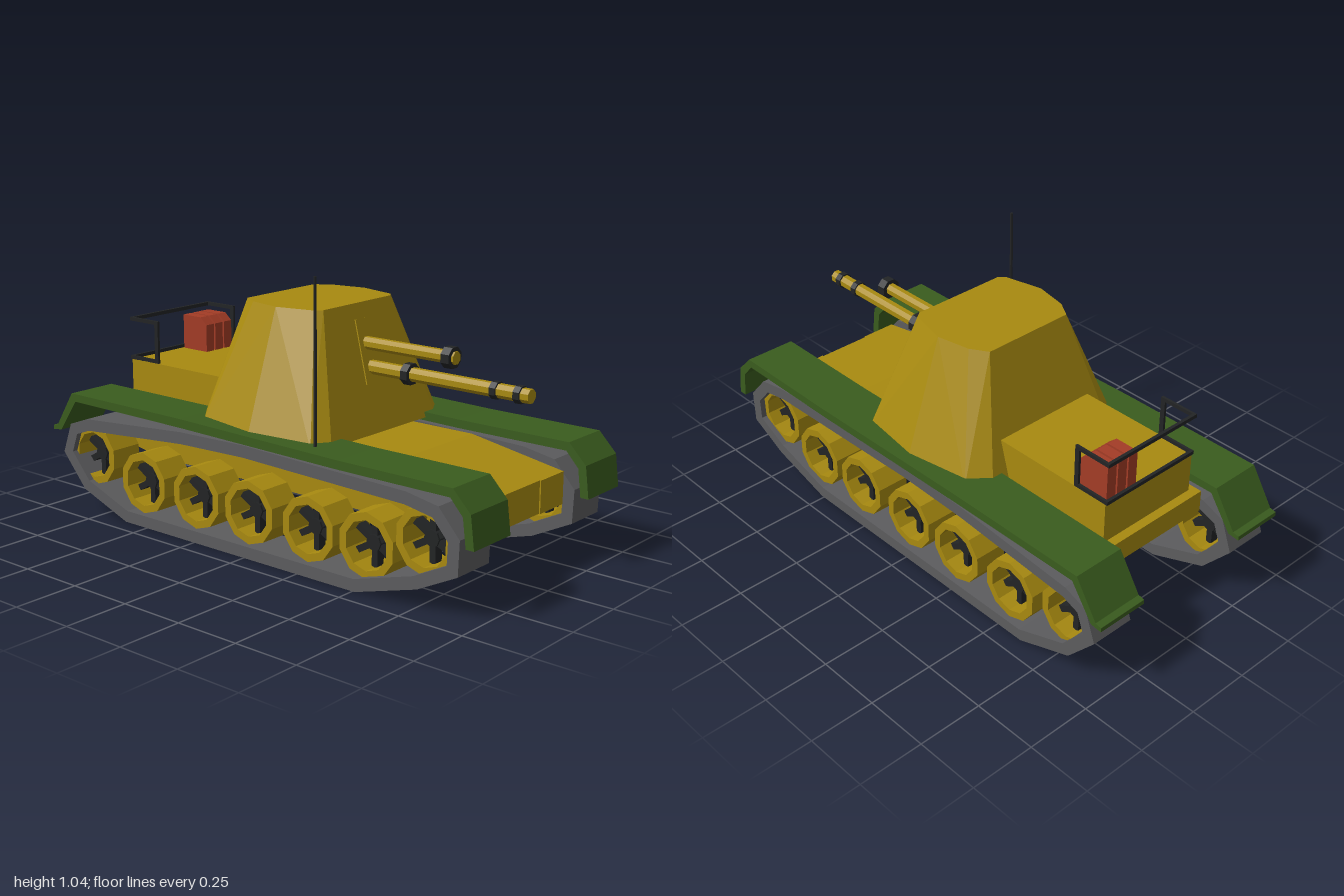
import * as THREE from 'three';
import { ConvexGeometry } from 'three/addons/geometries/ConvexGeometry.js';

const mat = (color) => new THREE.MeshStandardMaterial({ color, flatShading: true });
const OLIVE = mat(0xa88a10), GREEN = mat(0x3a5c1e), BLACK = mat(0x222425), STEEL = mat(0x5c5c5e), RED = mat(0xa33c26);
const V2 = (p) => new THREE.Vector2(p[0], p[1]);

function add(parent, name, geometry, material, x = 0, y = 0, z = 0) {
  const m = new THREE.Mesh(geometry, material);
  m.name = name;
  m.position.set(x, y, z);
  parent.add(m);
  return m;
}

const box = (parent, name, material, w, h, d, x, y, z) =>
  add(parent, name, new THREE.BoxGeometry(w, h, d), material, x, y, z);

// Extrudes a side profile of [z, y] points across x0..x1, with an optional hole.
function sideExtrude(points, x0, x1, hole) {
  const shape = new THREE.Shape(points.map(V2));
  if (hole) shape.holes.push(new THREE.Path(hole.map(V2)));
  const g = new THREE.ExtrudeGeometry(shape, { depth: x1 - x0, bevelEnabled: false });
  return g.rotateY(-Math.PI / 2).translate(x1, 0, 0);
}

// Moves a counterclockwise outline inwards by t.
function inset(points, t) {
  const n = points.length;
  return points.map((p, i) => {
    const a = V2(points[(i + n - 1) % n]), b = V2(p), c = V2(points[(i + 1) % n]);
    const d1 = b.clone().sub(a).normalize(), d2 = c.clone().sub(b).normalize();
    const n1 = new THREE.Vector2(-d1.y, d1.x), n2 = new THREE.Vector2(-d2.y, d2.x);
    const k = t / (1 + n1.dot(n2));
    return [p[0] + (n1.x + n2.x) * k, p[1] + (n1.y + n2.y) * k];
  });
}

const ngon = (r, n) => Array.from({ length: n }, (_, i) => {
  const a = ((i + 0.5) / n) * Math.PI * 2;
  return [Math.cos(a) * r, Math.sin(a) * r];
});

// Octagonal rod along z from z0 to z1.
function rodZ(parent, name, material, r, z0, z1, x, y) {
  const g = new THREE.CylinderGeometry(r, r, z1 - z0, 8).rotateY(Math.PI / 8).rotateX(Math.PI / 2);
  return add(parent, name, g, material, x, y, (z0 + z1) / 2);
}

// Hollow octagonal collar around a barrel.
function collar(parent, r, inner, z, len, y) {
  const shape = new THREE.Shape(ngon(r, 8).map(V2));
  shape.holes.push(new THREE.Path(ngon(inner, 8).map(V2)));
  const g = new THREE.ExtrudeGeometry(shape, { depth: len, bevelEnabled: false }).translate(0, 0, -len / 2);
  add(parent, 'barrelCollar', g, BLACK, 0, y, z);
}

function makeWheel() {
  const wheel = new THREE.Group();
  wheel.name = 'wheel';
  add(wheel, 'wheelRim', sideExtrude(ngon(0.119, 10), -0.065, 0.065, ngon(0.09, 10)), OLIVE);
  for (let i = 0; i < 3; i++) {
    box(wheel, 'spokes', BLACK, 0.035, 0.182, 0.024, 0, 0, 0).rotation.x = (i * Math.PI) / 3;
  }
  add(wheel, 'hub', new THREE.CylinderGeometry(0.03, 0.03, 0.05, 8).rotateZ(Math.PI / 2), BLACK);
  return wheel;
}

export function createModel() {
  const model = new THREE.Group();
  model.name = 'trackedVehicle';

  // Hull with sloped nose and tail
  add(model, 'hull', sideExtrude([
    [0.885, 0.22], [0.885, 0.34], [0.5, 0.405], [-0.81, 0.405], [-0.81, 0.32], [-0.75, 0.245], [-0.6, 0.22],
  ], -0.255, 0.255), OLIVE);
  for (const s of [-1, 1]) box(model, 'nosePlate', OLIVE, 0.145, 0.12, 0.01, s * 0.182, 0.28, 0.885);

  // Raised engine deck
  box(model, 'engineDeck', OLIVE, 0.43, 0.16, 0.79, 0, 0.497, -0.39);

  // Faceted fighting compartment, tapering upwards
  const base = [[0.3, 0.3], [0.365, 0.26], [0.405, 0], [0.365, -0.26], [0.29, -0.325]];
  const roof = [[0.19, 0.17], [0.215, 0.15], [0.25, 0], [0.225, -0.13], [0.185, -0.195]];
  const corners = [];
  for (const s of [-1, 1]) {
    base.forEach(([x, z]) => corners.push(new THREE.Vector3(s * x, 0.435, z)));
    roof.forEach(([x, z]) => corners.push(new THREE.Vector3(s * x, 0.885, z)));
  }
  add(model, 'compartment', new ConvexGeometry(corners), OLIVE);

  // Gun shield plate lying on the sloped front
  const plate = new THREE.Shape([[-0.05, -0.118], [0.05, -0.118], [0.038, 0.118], [-0.038, 0.118]].map(V2));
  const shield = add(model, 'gunShield',
    new THREE.ExtrudeGeometry(plate, { depth: 0.02, bevelEnabled: false }), OLIVE, 0, 0.713, 0.204);
  shield.rotation.x = -Math.atan2(0.13, 0.45);

  // Two stacked barrels with collars
  const guns = new THREE.Group();
  guns.name = 'guns';
  model.add(guns);
  rodZ(guns, 'upperBarrel', OLIVE, 0.024, 0.17, 0.605, 0, 0.745);
  rodZ(guns, 'lowerBarrel', OLIVE, 0.026, 0.19, 0.91, 0, 0.66);
  collar(guns, 0.04, 0.022, 0.58, 0.035, 0.745);
  collar(guns, 0.04, 0.024, 0.405, 0.03, 0.66);
  for (const z of [0.77, 0.865]) collar(guns, 0.032, 0.024, z, 0.025, 0.66);

  // Antenna
  add(model, 'antenna', new THREE.CylinderGeometry(0.006, 0.006, 0.6, 6), BLACK, -0.375, 0.742, 0.29);

  // Running gear, mirrored for both sides
  const trackOutline = [
    [0.93, 0.155], [0.935, 0.28], [0.85, 0.375], [0.72, 0.398], [0, 0.418], [-0.31, 0.41], [-0.82, 0.37],
    [-0.915, 0.335], [-0.96, 0.215], [-0.845, 0.085], [-0.615, 0], [0.51, 0], [0.77, 0.075],
  ];
  const fenderOutline = [
    [1, 0.262], [0.985, 0.38], [0.915, 0.452], [0.45, 0.452], [-0.3, 0.465], [-0.885, 0.465], [-0.975, 0.325],
    [-1, 0.32], [-1, 0.303], [-0.955, 0.308], [-0.865, 0.435], [-0.3, 0.432], [0.45, 0.42],
    [0.905, 0.42], [0.955, 0.365], [0.968, 0.262],
  ];
  const wheels = [[0.78, 0.235], [0.54, 0.165], [0.283, 0.165], [0.005, 0.165], [-0.257, 0.165],
    [-0.535, 0.165], [-0.81, 0.225]];
  for (const s of [-1, 1]) {
    const side = new THREE.Group();
    side.name = s > 0 ? 'leftRunningGear' : 'rightRunningGear';
    side.position.x = s * 0.343;
    model.add(side);
    add(side, 'track', sideExtrude(trackOutline, -0.087, 0.087, inset(trackOutline, 0.045)), STEEL);
    add(side, 'fender', sideExtrude(fenderOutline, -0.102, 0.102), GREEN);
    for (const [z, y] of wheels) {
      const w = makeWheel();
      w.position.set(0, y, z);
      side.add(w);
    }
  }

  // Stowage rail: upper and lower U-shaped bars on two posts
  const rack = new THREE.Group();
  rack.name = 'stowageRack';
  model.add(rack);
  for (const y of [0.583, 0.735]) {
    box(rack, 'backRail', BLACK, 0.43, 0.014, 0.012, 0, y, -0.787);
    for (const s of [-1, 1]) box(rack, 'sideRail', BLACK, 0.01, 0.014, 0.15, s * 0.21, y, -0.715);
  }
  for (const s of [-1, 1]) box(rack, 'railPost', BLACK, 0.01, 0.165, 0.018, s * 0.21, 0.659, -0.649);

  // Fuel cans with a cut front corner
  for (let i = 0; i < 3; i++) {
    const x = 0.058 + i * 0.05;
    add(rack, 'fuelCan', sideExtrude([
      [-0.648, 0.577], [-0.648, 0.685], [-0.68, 0.713], [-0.775, 0.713], [-0.775, 0.577],
    ], x, x + 0.042), RED);
  }
  return model;
}
